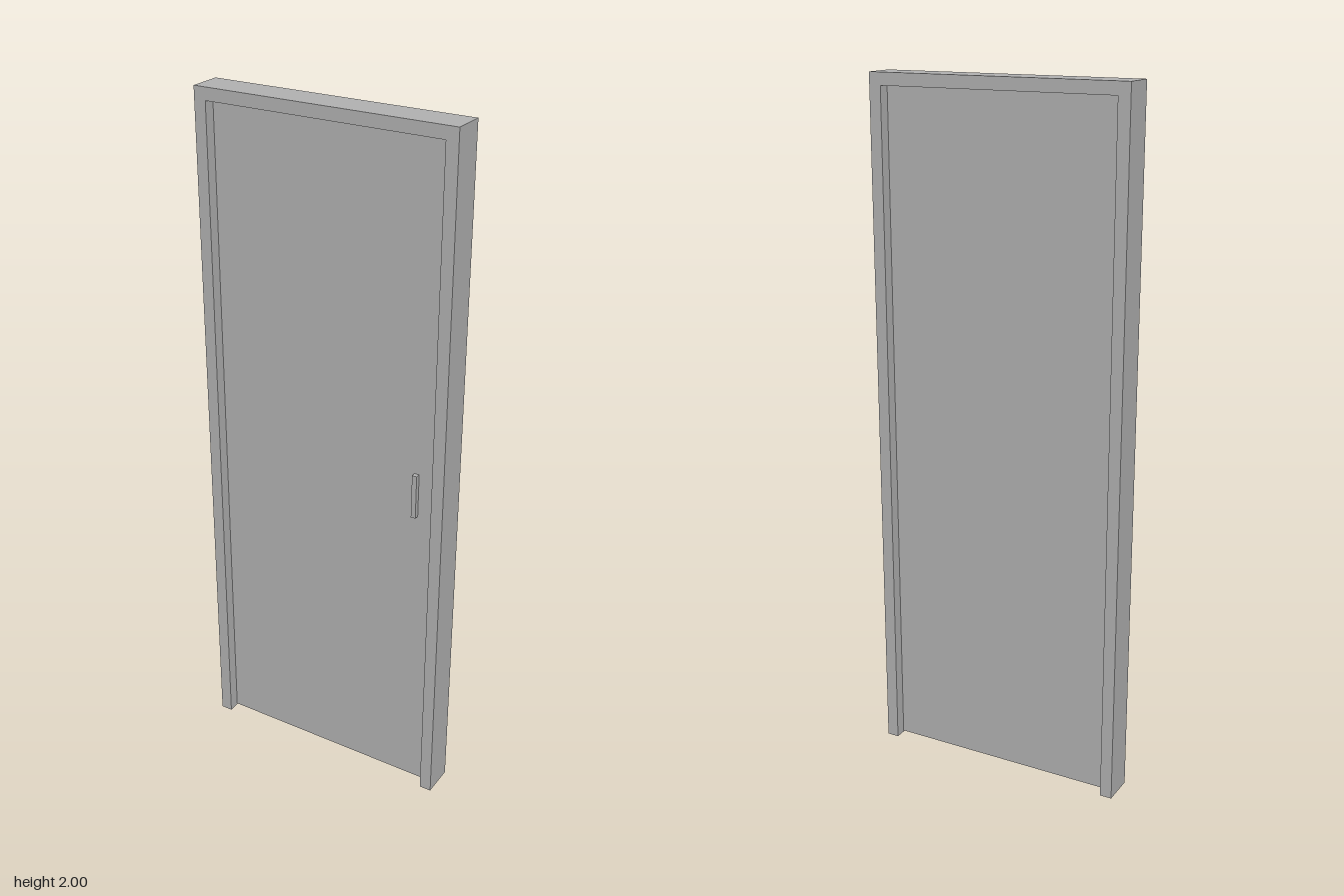
import * as THREE from 'three';

const WIDTH = 0.76, HEIGHT = 2, DEPTH = 0.096, JAMB = 0.035;
const DOOR_THICKNESS = 0.03, GAP = 0.004;

export function createModel() {
  const group = new THREE.Group();
  group.name = 'door';
  const grey = new THREE.MeshStandardMaterial({ color: 0xb2b2b2 });
  grey.name = 'grey';

  const add = (name, geometry, x, y, z) => {
    const mesh = new THREE.Mesh(geometry, grey);
    mesh.name = name;
    mesh.position.set(x, y, z);
    group.add(mesh);
  };

  // Frame: two jambs and a lintel as one U-shaped profile, open at the floor
  const outer = WIDTH / 2, inner = outer - JAMB, head = HEIGHT - JAMB;
  const profile = new THREE.Shape([
    [-outer, 0], [-inner, 0], [-inner, head], [inner, head],
    [inner, 0], [outer, 0], [outer, HEIGHT], [-outer, HEIGHT],
  ].map(([x, y]) => new THREE.Vector2(x, y)));
  add('frame', new THREE.ExtrudeGeometry(profile, { depth: DEPTH, bevelEnabled: false }), 0, 0, -DEPTH / 2);

  // Door leaf, recessed on both sides and just clear of the floor
  const leafHeight = head - GAP;
  add('doorLeaf', new THREE.BoxGeometry(inner * 2, leafHeight, DOOR_THICKNESS), 0, GAP + leafHeight / 2, 0);

  // Upright pull handle on the front only
  const handleDepth = 0.014;
  add('handle', new THREE.BoxGeometry(0.014, 0.13, handleDepth),
    0.282, 0.975, (DOOR_THICKNESS + handleDepth) / 2);

  return group;
}
